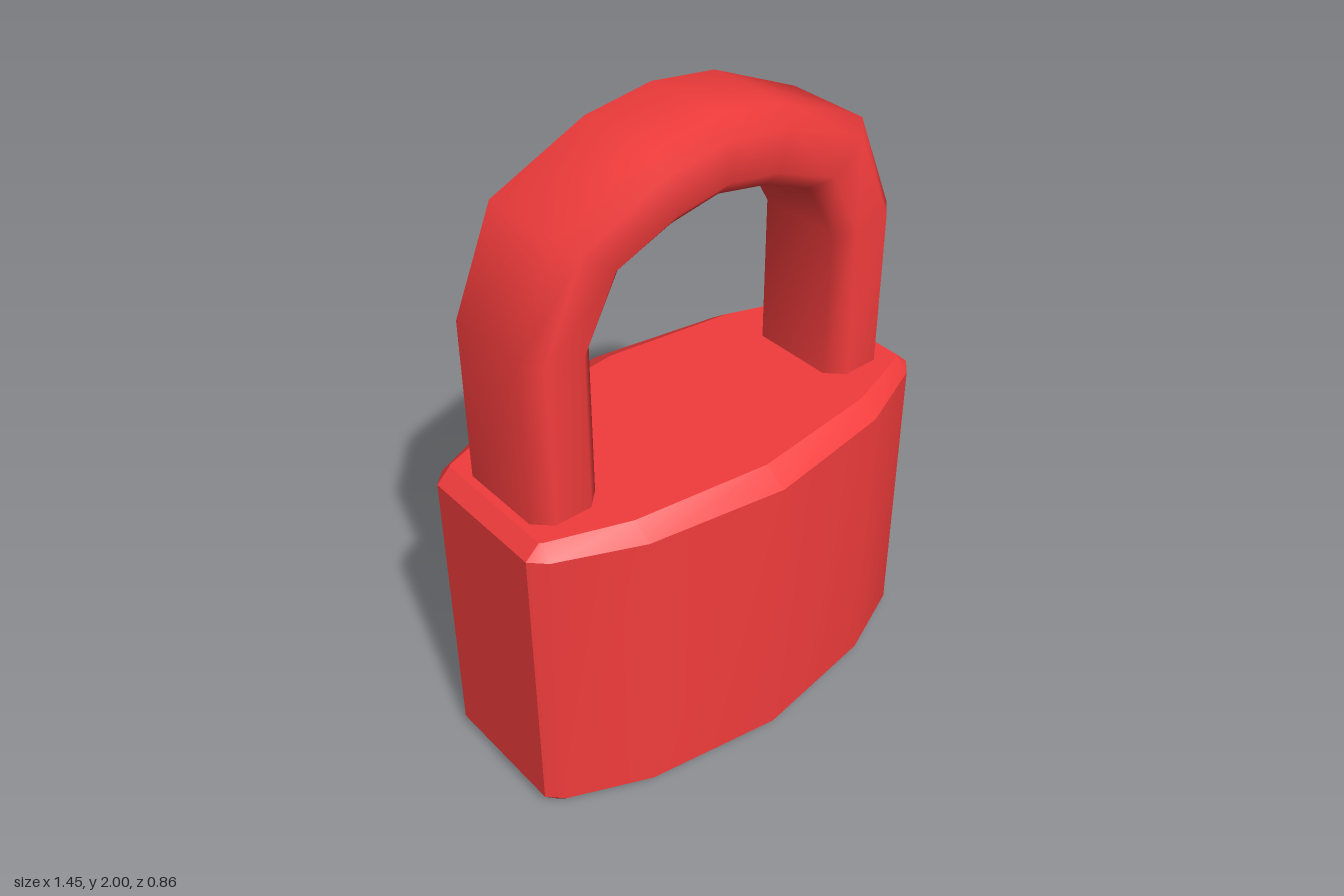
import * as THREE from 'three';
import { toCreasedNormals } from 'three/addons/utils/BufferGeometryUtils.js';

const red = new THREE.MeshStandardMaterial({ color: 0xf23c3c });

// Skin a list of closed rings, each an array of [x, y, z]
function loft(rings) {
  const n = rings[0].length, index = [];
  for (let i = 0; i < rings.length - 1; i++) {
    for (let j = 0; j < n; j++) {
      const k = (j + 1) % n;
      const a = i * n + j, b = i * n + k, c = b + n, d = a + n;
      index.push(a, b, c, a, c, d);
    }
  }
  const geo = new THREE.BufferGeometry();
  geo.setAttribute('position', new THREE.Float32BufferAttribute(rings.flat(2), 3));
  geo.setIndex(index);
  geo.computeVertexNormals();
  return geo;
}

// Mirror a quarter outline (from +z round to +x) into a full one
function mirrorQuarter(q) {
  const half = [...q, ...q.map(([x, z]) => [x, -z]).reverse()];
  return [...half, ...half.slice(1, -1).map(([x, z]) => [-x, z]).reverse()];
}

function addMesh(parent, name, geo, y = 0) {
  const mesh = new THREE.Mesh(geo, red);
  mesh.name = name;
  mesh.position.y = y;
  parent.add(mesh);
  return mesh;
}

function createBody() {
  const body = new THREE.Group();
  body.name = 'body';
  const height = 1.02, bevel = 0.043;
  const outer = mirrorQuarter([[0, 0.43], [0.43, 0.365], [0.68, 0.257], [0.725, 0.212]]);
  const inner = mirrorQuarter([[0, 0.355], [0.43, 0.303], [0.672, 0.219], [0.68, 0.212]]);
  const ring = (pts, y) => pts.map(([x, z]) => [x, y, z]);

  // Bowed walls with bevelled rims
  const walls = loft([
    ring(inner, 0), ring(outer, bevel), ring(outer, height - bevel), ring(inner, height),
  ]);
  addMesh(body, 'bodyWalls', toCreasedNormals(walls, 0.52));

  // Flat top, and underside with a hexagonal opening
  const outline = () => new THREE.Shape(inner.map(([x, z]) => new THREE.Vector2(x, z)));
  addMesh(body, 'bodyTop', new THREE.ShapeGeometry(outline()).rotateX(-Math.PI / 2), height);

  const radius = 0.14, depth = 0.045;
  const hex = Array.from({ length: 6 }, (_, i) => {
    const a = i * Math.PI / 3;
    return [radius * Math.sin(a), radius * Math.cos(a)];
  });
  const under = outline();
  under.holes.push(new THREE.Path(hex.map(([x, z]) => new THREE.Vector2(x, z))));
  addMesh(body, 'bodyUnderside', new THREE.ShapeGeometry(under).rotateX(Math.PI / 2));

  // Keyhole recess: inward-facing walls and a floor
  const recess = loft([ring(hex, depth), ring(hex, 0)]);
  addMesh(body, 'keyholeWalls', toCreasedNormals(recess, 0.5));
  addMesh(body, 'keyholeFloor', new THREE.CircleGeometry(radius, 6, Math.PI / 2).rotateX(Math.PI / 2), depth);
  return body;
}

function createShackle() {
  // Stations of the arch: outer x, y and inner x, y
  const half = [
    [0.655, 1.0, 0.435, 1.0],
    [0.655, 1.53, 0.435, 1.5],
    [0.525, 1.835, 0.335, 1.68],
    [0.22, 1.97, 0.16, 1.75],
  ];
  const stations = [
    ...half, [0, 2, 0, 1.78],
    ...half.map(([ox, oy, ix, iy]) => [-ox, oy, -ix, iy]).reverse(),
  ];
  // Chamfered section: fraction from outer to inner side, and z
  const section = [
    [0.77, 0.185], [0.23, 0.185], [0, 0.135], [0, -0.135],
    [0.23, -0.185], [0.77, -0.185], [1, -0.135], [1, 0.135],
  ];
  const lerp = THREE.MathUtils.lerp;
  return loft(stations.map(([ox, oy, ix, iy]) =>
    section.map(([t, z]) => [lerp(ox, ix, t), lerp(oy, iy, t), z])));
}

export function createModel() {
  const model = new THREE.Group();
  model.name = 'padlock';
  model.add(createBody());
  addMesh(model, 'shackle', createShackle());
  return model;
}
